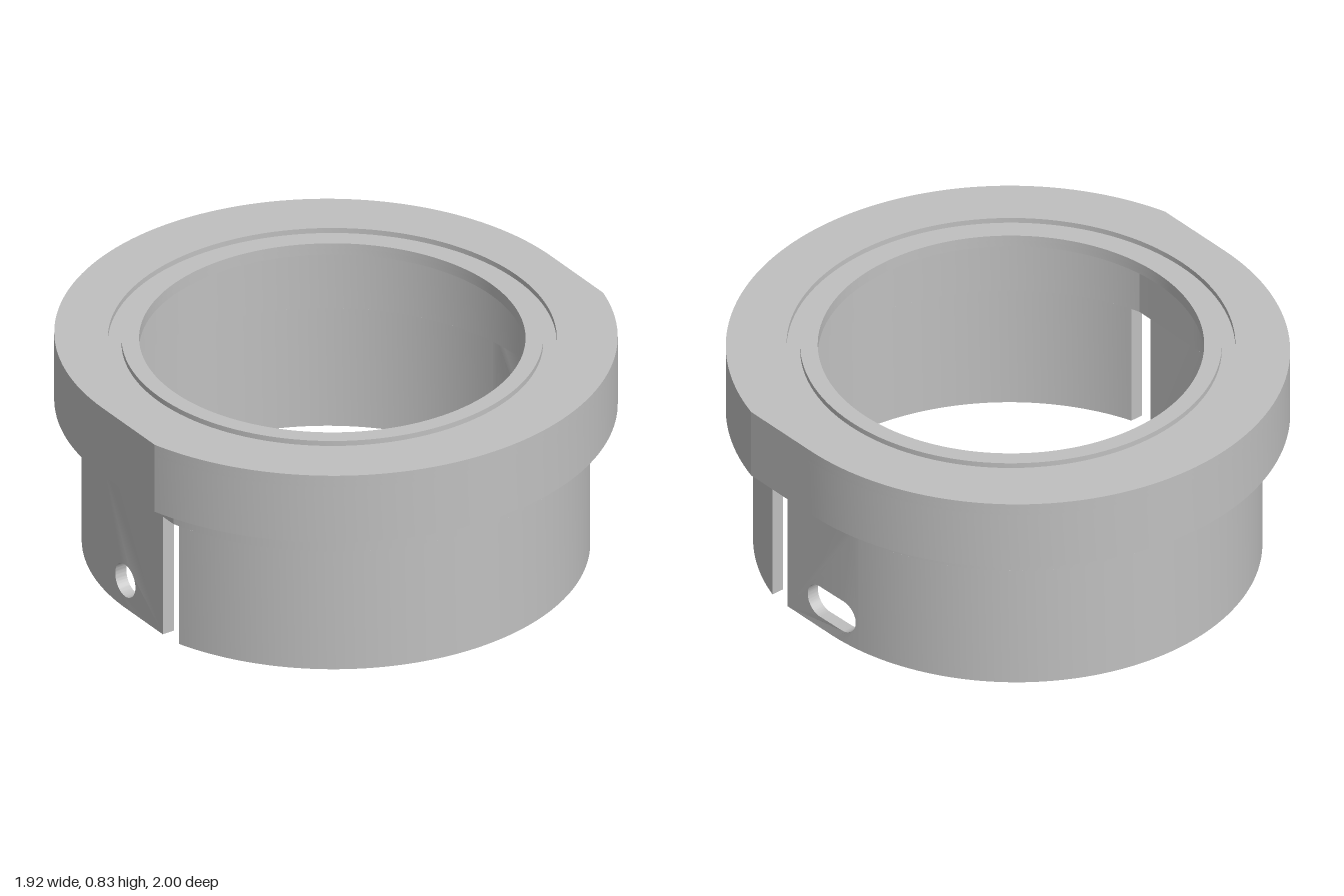
import * as THREE from 'three';
import { toCreasedNormals } from 'three/addons/utils/BufferGeometryUtils.js';

const V = (x, z) => new THREE.Vector2(x, -z); // plan point, shape y = -z
const WALL = 0.047;
const FLANGE = { cx: 0, r: 0.96, zb: -0.04, R: 1.0, zf: 0 };
const SKIRT = { cx: -0.005, r: 0.865, zb: -0.03, R: 0.9025, zf: 0.008 };

// Rear arc, from +x round the back to -x, ending on the line z = zCut
function rearArc(o, inset, zCut, n = 80) {
  const r = o.r - inset, a = Math.asin((o.zb - zCut) / r), pts = [];
  for (let i = 0; i <= n; i++) {
    const t = a + (Math.PI - 2 * a) * i / n;
    pts.push(V(o.cx + r * Math.cos(t), o.zb - r * Math.sin(t)));
  }
  return pts;
}

// Front arc, from -x round the front to +x, ending on the line z = zCut
function frontArc(o, inset, zCut, n = 80) {
  const R = o.R - inset, a = Math.asin((zCut - o.zf) / R), pts = [];
  for (let i = 0; i <= n; i++) {
    const t = a + (Math.PI - 2 * a) * i / n;
    pts.push(V(o.cx - R * Math.cos(t), o.zf + R * Math.sin(t)));
  }
  return pts;
}

// Closed outline: rear arc, two side flats, wider front arc
function outline(o, inset = 0) {
  const R = o.R - inset, r = o.r - inset;
  const zCorner = o.zf + Math.sqrt(R * R - r * r);
  return [...rearArc(o, inset, o.zb), ...frontArc(o, inset, zCorner)];
}

function circle(r, n = 128) {
  return Array.from({ length: n }, (_, i) => {
    const t = i / n * Math.PI * 2;
    return V(-0.008 + r * Math.cos(t), 0.004 - r * Math.sin(t));
  });
}

// Vertical extrusion of a plan shape between two heights
function slab(outer, hole, y0, y1) {
  const s = new THREE.Shape(outer);
  if (hole) s.holes.push(new THREE.Path(hole));
  const g = new THREE.ExtrudeGeometry(s, { depth: y1 - y0, bevelEnabled: false });
  g.rotateX(-Math.PI / 2).translate(0, y0, 0);
  return toCreasedNormals(g, 0.2);
}

// Side wall panel with a hole, bent to follow the rear arc
function sidePanel(side, zBack, zFront, height, halfSlot) {
  const n = 12, pts = [];
  for (let i = 0; i <= n; i++) pts.push(new THREE.Vector2(-zFront + (zFront - zBack) * i / n, 0));
  for (let i = n; i >= 0; i--) pts.push(new THREE.Vector2(-zFront + (zFront - zBack) * i / n, height));
  const s = new THREE.Shape(pts), hole = new THREE.Path();
  const c = 0.033, y = 0.11, r = 0.064;
  hole.absarc(c + halfSlot, y, r, -Math.PI / 2, Math.PI / 2, false);
  hole.absarc(c - halfSlot, y, r, Math.PI / 2, Math.PI * 1.5, false);
  s.holes.push(hole);
  const g = new THREE.ExtrudeGeometry(s, { depth: WALL, bevelEnabled: false, curveSegments: 20 });
  g.rotateY(Math.PI / 2).translate(side > 0 ? SKIRT.r - WALL : -SKIRT.r, 0, 0);
  const p = g.attributes.position;
  for (let i = 0; i < p.count; i++) {
    const x = p.getX(i), d = Math.min(0, p.getZ(i) - SKIRT.zb);
    p.setX(i, SKIRT.cx + side * Math.sqrt(x * x - d * d));
  }
  return toCreasedNormals(g, 0.3);
}

export function createModel() {
  const model = new THREE.Group();
  model.name = 'flangedCollar';
  const grey = new THREE.MeshStandardMaterial({ color: 0xc0c0c0 });
  grey.name = 'plain grey';
  const add = (name, geometry) => {
    const m = new THREE.Mesh(geometry, grey);
    m.name = name;
    model.add(m);
  };

  // Flange: plate with a shallow ring groove, and a thin lip hanging below
  const top = 0.83, groove = 0.81, under = 0.785, lipBottom = 0.56;
  add('flangePlate', slab(outline(FLANGE), circle(0.68), under, groove));
  add('flangeTop', slab(outline(FLANGE), circle(0.79), groove, top));
  add('innerRim', slab(circle(0.742), circle(0.68), groove, top));
  add('flangeLip', slab(outline(FLANGE), outline(FLANGE, 0.032), lipBottom, under));

  // Skirt: full wall above, split by two slots below
  const slotTop = 0.475, slotBack = 0.2, slotFront = 0.29, panelBack = -0.17;
  add('skirtUpper', slab(outline(SKIRT), outline(SKIRT, WALL), slotTop, under));
  add('skirtFront', slab(
    [...frontArc(SKIRT, 0, slotFront), ...frontArc(SKIRT, WALL, slotFront).reverse()], null, 0, slotTop));
  add('skirtBack', slab(
    [...rearArc(SKIRT, 0, panelBack), ...rearArc(SKIRT, WALL, panelBack).reverse()], null, 0, slotTop));
  add('panelWithLongHole', sidePanel(1, panelBack, slotBack, slotTop, 0.06));
  add('panelWithRoundHole', sidePanel(-1, panelBack, slotBack, slotTop, 0));

  return model;
}
